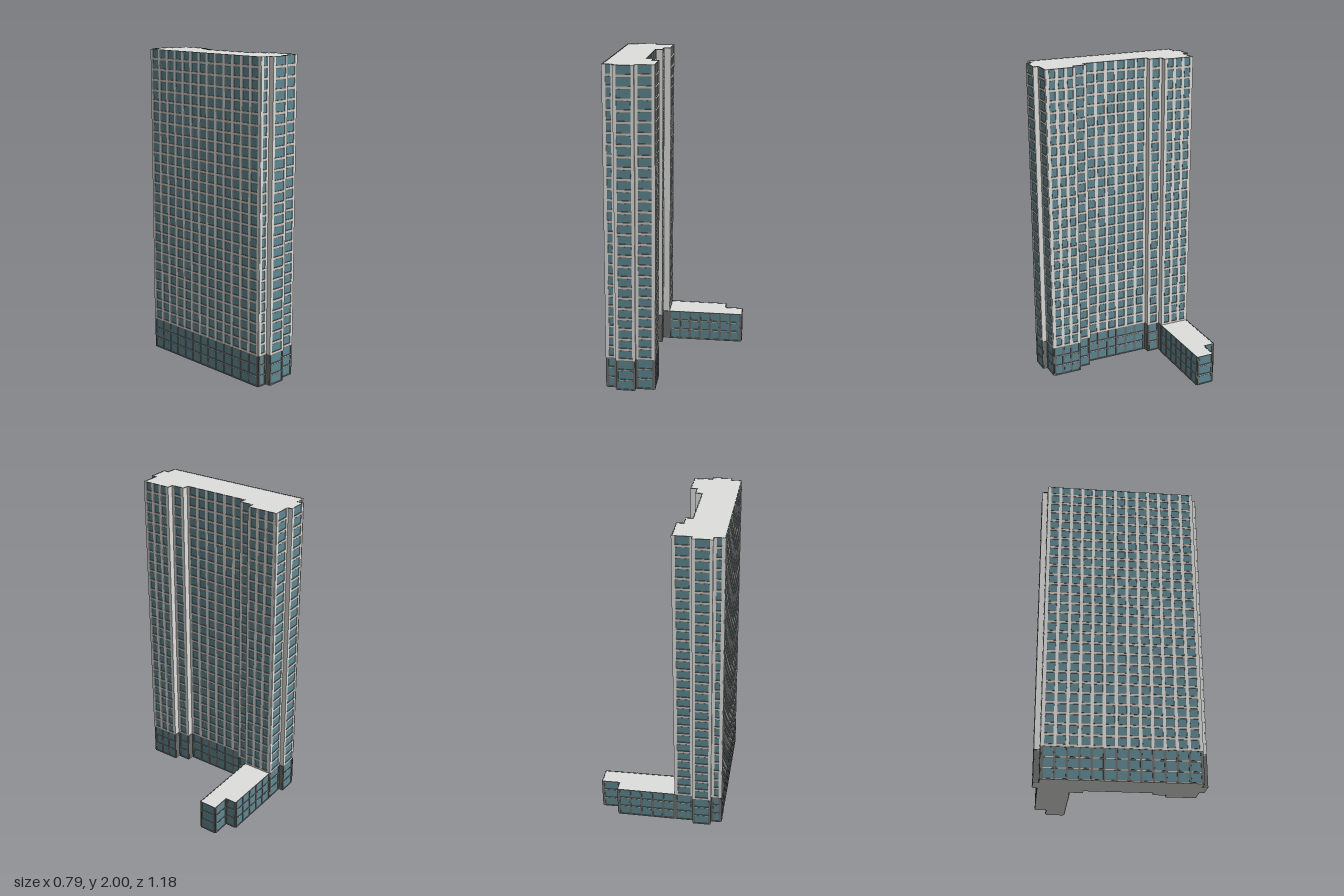
import * as THREE from 'three';
import { mergeGeometries } from 'three/addons/utils/BufferGeometryUtils.js';

const paint = (name, color) => new THREE.MeshStandardMaterial({ name, color });

// Plan is drawn on axes turned by 30 degrees: a runs along the slab, b across it
const S = Math.sqrt(3) / 2;
const plan = ([a, b]) => [-0.39 + 0.5 * a + S * b, -0.245 + S * a - 0.5 * b];

const FLOOR = 2 / 30;
const PODIUM_FLOORS = 3;
const PODIUM_TOP = PODIUM_FLOORS * FLOOR;

const backEnd = [[0, 0], [0, 0.064], [-0.035, 0.064], [-0.035, 0.182], [-0.005, 0.182], [-0.005, 0.299]];
const wing = [[-0.005, 0.299], [0, 0.68], [0.073, 0.68], [0.073, 0.797], [0.185, 0.797], [0.185, 0.299]];
const rest = [
  [0.185, 0.299], [0.185, 0.257], [0.268, 0.257], [0.268, 0.215],
  [0.69, 0.215], [0.69, 0.257], [0.774, 0.257], [0.774, 0.297], [0.96, 0.297],
  [0.96, 0.183], [0.99, 0.183], [0.99, 0.064], [0.957, 0.064], [0.957, 0],
];
const outline = (pts) => pts.map(plan).reverse();
const towerPlan = outline([...backEnd, ...rest]);
const podiumPlan = outline([...backEnd, ...wing.slice(1, -1), ...rest]);
const wingPlan = outline(wing);

// Solid prism standing on a plan outline
function prism(points, y0, y1) {
  const shape = new THREE.Shape(points.map(([x, z]) => new THREE.Vector2(x, -z)));
  const g = new THREE.ExtrudeGeometry(shape, { depth: y1 - y0, bevelEnabled: false });
  return g.rotateX(-Math.PI / 2).translate(0, y0, 0);
}

// Box in wall coordinates: x along the wall, z outward
function block(x0, x1, y0, y1, z1) {
  const z0 = -0.002;
  return new THREE.BoxGeometry(x1 - x0, y1 - y0, z1 - z0)
    .translate((x0 + x1) / 2, (y0 + y1) / 2, (z0 + z1) / 2);
}

// Visit every wall of an outline with its length and a placing function
function eachWall(points, visit) {
  points.forEach(([x, z], i) => {
    const [x2, z2] = points[(i + 1) % points.length];
    const turn = Math.atan2(z - z2, x2 - x);
    visit(Math.hypot(x2 - x, z2 - z), (g) => g.rotateY(turn).translate(x, 0, z));
  });
}

// Framed windows, piers, ledges and projecting sills on every wall
function facade(points, first, last, style) {
  const parts = { windows: [], frames: [], piers: [], ledges: [], sills: [] };
  eachWall(points, (length, place) => {
    if (length < 0.05) return;
    const bays = length > 0.13 ? Math.round(length / 0.073) : 1;
    const margin = 0.008;
    const bay = (length - 2 * margin) / bays;
    const half = style.pier / 2;
    const put = (list, ...size) => list.push(place(block(...size)));
    for (let i = 0; i <= bays; i++) {
      const x = margin + i * bay;
      put(parts.piers, x - half, x + half, first * FLOOR, last * FLOOR, 0.005);
    }
    for (let f = first; f < last; f++) {
      const y = f * FLOOR;
      const top = y + FLOOR;
      const sill = y + style.band;
      for (let i = 0; i < bays; i++) {
        const x0 = margin + i * bay + half;
        const x1 = x0 + bay - 2 * half;
        put(parts.ledges, x0, x1, y, sill - 0.003, 0.005);
        put(parts.sills, x0, x1, sill - 0.003, sill, 0.007);
        put(parts.frames, x0, x1, sill, top, 0.001);
        put(parts.windows, x0 + 0.002, x1 - 0.002, sill, top - 0.003, 0.002);
      }
    }
  });
  return parts;
}

// Thin rim along the top of an outline
function rim(points, y0, y1) {
  const strips = [];
  eachWall(points, (length, place) => {
    strips.push(place(block(-0.002, length + 0.002, y0, y1, 0.003)));
  });
  return mergeGeometries(strips);
}

export function createModel() {
  const light = paint('light grey', 0xdededc);
  const beige = paint('ledge beige', 0xcdc3ba);
  const dark = paint('dark grey', 0x6c6e6e);
  const glass = paint('teal glass', 0x5f8791);

  const model = new THREE.Group();
  model.name = 'building';
  const add = (parent, name, geometry, material) => {
    const mesh = new THREE.Mesh(geometry, material);
    mesh.name = name;
    parent.add(mesh);
  };
  const addFacade = (parent, parts, pierMaterial) => {
    const colours = { windows: glass, frames: dark, piers: pierMaterial, ledges: beige, sills: dark };
    for (const name in parts) add(parent, name, mergeGeometries(parts[name]), colours[name]);
  };

  // Three-storey podium with its side wing
  const podium = new THREE.Group();
  podium.name = 'podium';
  add(podium, 'underside', prism(podiumPlan, 0, 0.003), light);
  add(podium, 'podiumWalls', prism(podiumPlan, 0.003, PODIUM_TOP - 0.006), dark);
  add(podium, 'wingRoof', prism(wingPlan, PODIUM_TOP - 0.006, PODIUM_TOP - 0.002), light);
  add(podium, 'podiumRim', rim(podiumPlan, PODIUM_TOP - 0.004, PODIUM_TOP), dark);
  addFacade(podium, facade(podiumPlan, 0, PODIUM_FLOORS, { pier: 0.011, band: 0.008 }), dark);

  // Tall slab
  const tower = new THREE.Group();
  tower.name = 'tower';
  add(tower, 'towerWalls', prism(towerPlan, PODIUM_TOP - 0.006, 1.998), light);
  add(tower, 'towerRim', rim(towerPlan, 1.996, 2), dark);
  addFacade(tower, facade(towerPlan, PODIUM_FLOORS, 30, { pier: 0.019, band: 0.016 }), light);

  model.add(podium, tower);
  return model;
}
